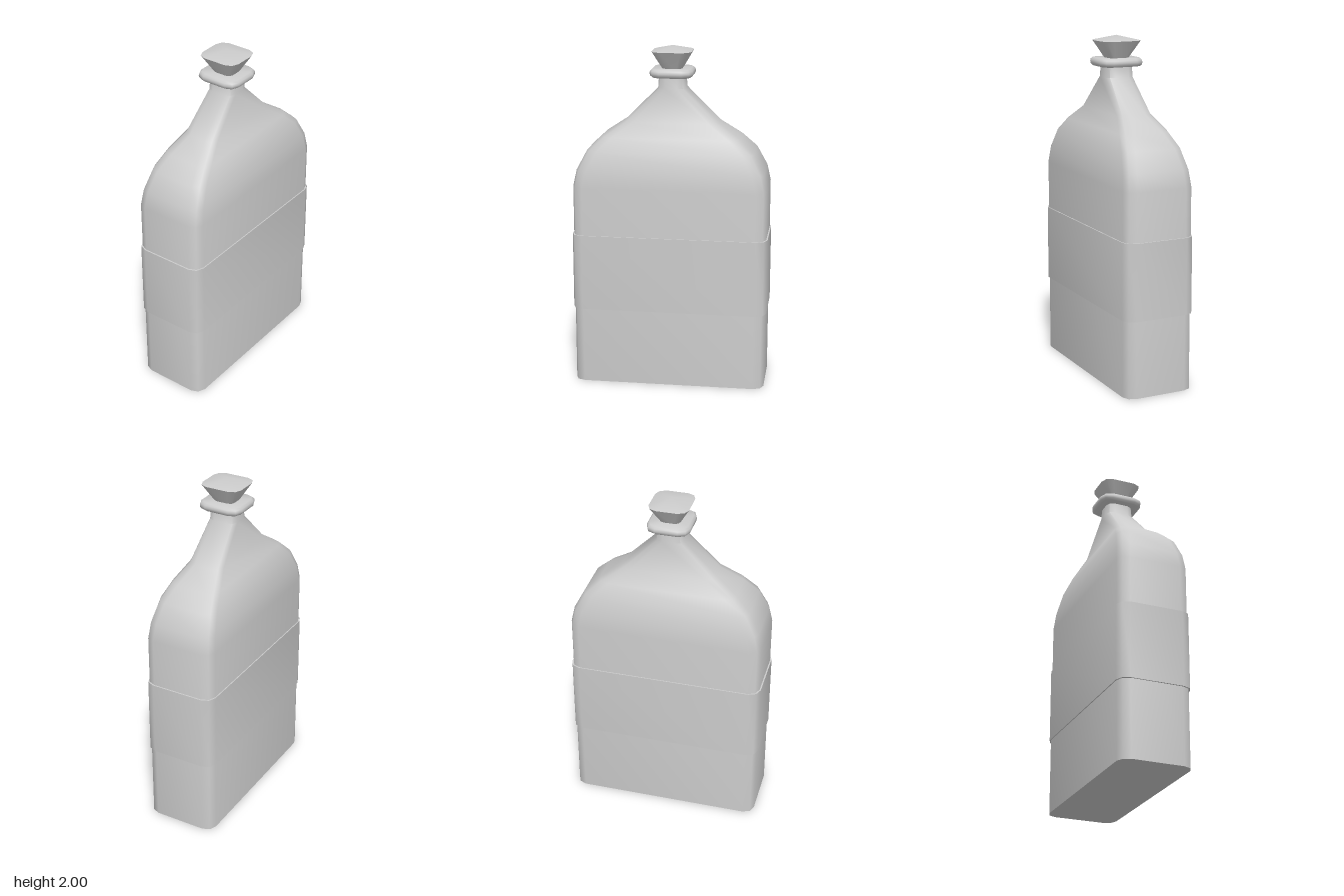
import * as THREE from 'three';
import { toCreasedNormals } from 'three/addons/utils/BufferGeometryUtils.js';

// Rounded-rectangle outline: half width, half depth, corner radius
function outline([y, hx, hz, r]) {
  const points = [];
  for (let c = 0; c < 4; c++) {
    const sx = c === 0 || c === 3 ? 1 : -1;
    const sz = c < 2 ? 1 : -1;
    for (let k = 0; k <= 2; k++) {
      const a = (c + k / 2) * Math.PI / 2;
      points.push(new THREE.Vector3(
        sx * (hx - r) + r * Math.cos(a), y, sz * (hz - r) + r * Math.sin(a)));
    }
  }
  return points;
}

// Skin a stack of sections [y, hx, hz, r] from bottom to top; zero size makes a point
function loft(name, sections, material) {
  const rings = sections.map(outline);
  const n = rings[0].length;
  const pos = [];
  const tri = (...corners) => corners.forEach((v) => pos.push(v.x, v.y, v.z));
  for (let i = 0; i < rings.length - 1; i++) {
    for (let j = 0; j < n; j++) {
      const k = (j + 1) % n;
      const [a, b, c, d] = [rings[i][j], rings[i][k], rings[i + 1][j], rings[i + 1][k]];
      if (sections[i + 1][1] > 0) tri(a, c, d);
      if (sections[i][1] > 0) tri(a, d, b);
    }
  }
  const geometry = new THREE.BufferGeometry();
  geometry.setAttribute('position', new THREE.Float32BufferAttribute(pos, 3));
  const mesh = new THREE.Mesh(toCreasedNormals(geometry, 0.95), material);
  mesh.name = name;
  return mesh;
}

export function createModel() {
  const group = new THREE.Group();
  group.name = 'flatBottle';
  const material = new THREE.MeshStandardMaterial({ color: 0xcccccc });

  // Flat body, curved shoulders and slim neck
  group.add(loft('body', [
    [0, 0, 0, 0],
    [0, 0.565, 0.213, 0.06],
    [1.19, 0.565, 0.213, 0.06],
    [1.285, 0.545, 0.204, 0.06],
    [1.4, 0.485, 0.182, 0.06],
    [1.48, 0.4, 0.152, 0.06],
    [1.565, 0.275, 0.106, 0.055],
    [1.76, 0.08, 0.086, 0.045],
    [1.84, 0.074, 0.08, 0.04],
    [1.84, 0, 0, 0],
  ], material));

  // Raised band wrapped around the body
  group.add(loft('labelBand', [
    [0.455, 0.56, 0.208, 0.058],
    [0.455, 0.573, 0.219, 0.062],
    [0.905, 0.573, 0.219, 0.062],
    [0.905, 0.56, 0.208, 0.058],
  ], material));

  // Rounded lip around the mouth
  group.add(loft('lip', [
    [1.824, 0, 0, 0],
    [1.824, 0.11, 0.118, 0.05],
    [1.834, 0.122, 0.13, 0.058],
    [1.848, 0.125, 0.133, 0.06],
    [1.861, 0.122, 0.13, 0.058],
    [1.871, 0.11, 0.118, 0.05],
    [1.871, 0, 0, 0],
  ], material));

  // Flared stopper with a shallow pointed top
  group.add(loft('stopper', [
    [1.85, 0.046, 0.05, 0.024],
    [1.97, 0.115, 0.123, 0.055],
    [2, 0, 0, 0],
  ], material));

  return group;
}
